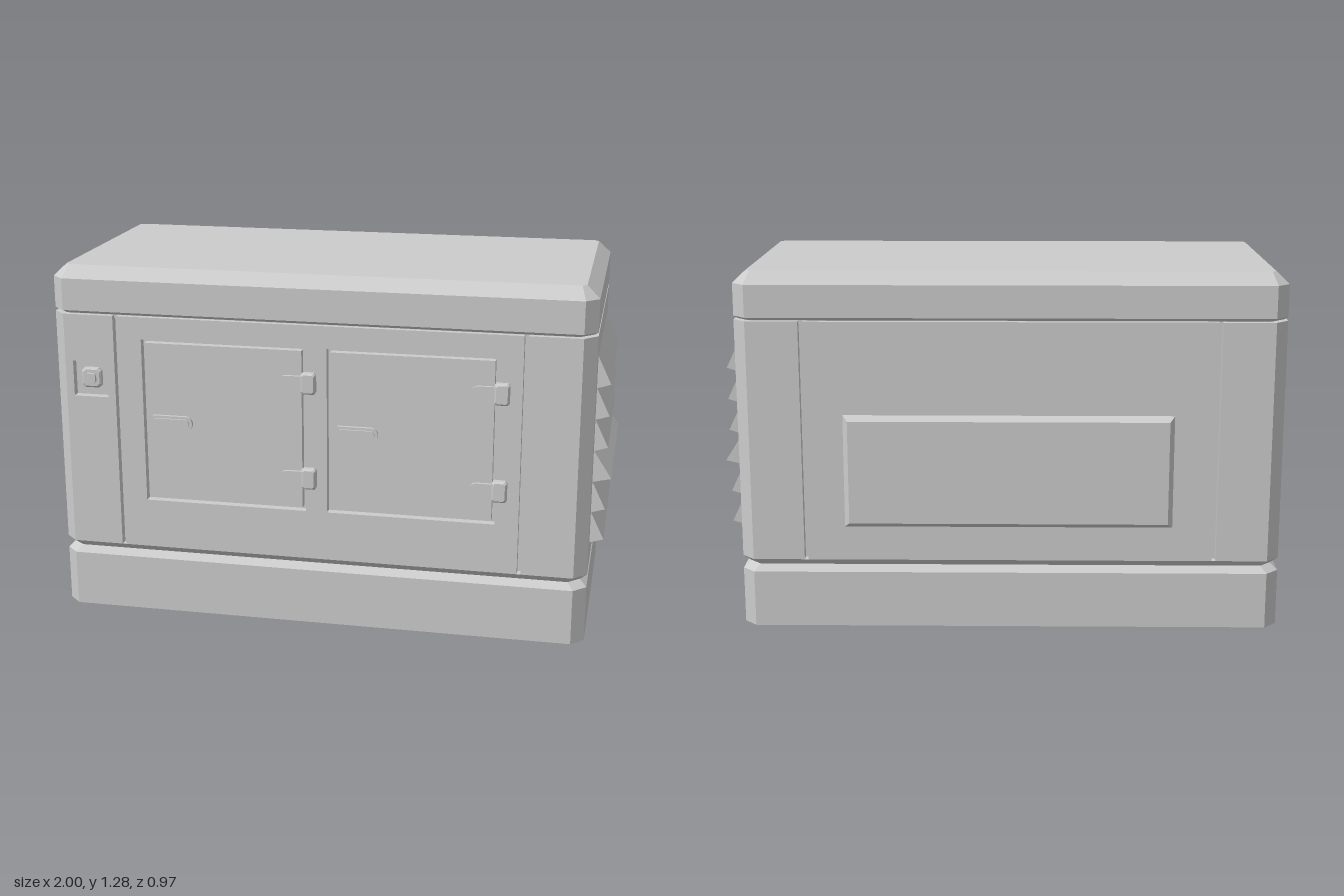
import * as THREE from 'three';

const MID = -0.025, HX = 0.96, HZ = 0.46, CUT = 0.045;
const PLATE = 0.03;
const BOTTOM = 0.25, TOP = 1.11;

const material = new THREE.MeshStandardMaterial({ color: 0xcccccc, flatShading: true });

function add(parent, name, geometry, x = 0, y = 0, z = 0) {
  const mesh = new THREE.Mesh(geometry, material);
  mesh.name = name;
  mesh.position.set(x, y, z);
  parent.add(mesh);
  return mesh;
}

// Rectangle with cut corners, counter-clockwise seen from +z (or from below when laid in x, z)
function cutRect(hx, hz, c) {
  return [[hx, -hz + c], [hx, hz - c], [hx - c, hz], [-hx + c, hz],
    [-hx, hz - c], [-hx, -hz + c], [-hx + c, -hz], [hx - c, -hz]];
}

// Stack of convex [points, height] sections with closed ends; height runs along y
function stack(sections) {
  const pos = [];
  const at = ([pts, h], i) => {
    const p = pts[i % pts.length];
    return [p[0], h, p[1]];
  };
  const n = sections[0][0].length;
  for (let s = 0; s + 1 < sections.length; s++) {
    const lo = sections[s], hi = sections[s + 1];
    for (let i = 0; i < n; i++) {
      pos.push(...at(lo, i), ...at(hi, i), ...at(hi, i + 1));
      pos.push(...at(lo, i), ...at(hi, i + 1), ...at(lo, i + 1));
    }
  }
  const first = sections[0], last = sections[sections.length - 1];
  for (let i = 1; i + 1 < n; i++) {
    pos.push(...at(first, 0), ...at(first, i), ...at(first, i + 1));
    pos.push(...at(last, 0), ...at(last, i + 1), ...at(last, i));
  }
  const g = new THREE.BufferGeometry();
  g.setAttribute('position', new THREE.Float32BufferAttribute(pos, 3));
  g.computeVertexNormals();
  return g;
}

const shell = (inset, y, c = CUT) => [cutRect(HX - inset, HZ - inset, c), y];

function rect(x0, x1, y0, y1, Type = THREE.Shape) {
  return new Type([[x0, y0], [x1, y0], [x1, y1], [x0, y1]].map(p => new THREE.Vector2(...p)));
}

const extrude = (shape, depth) =>
  new THREE.ExtrudeGeometry(shape, { depth, bevelEnabled: false, curveSegments: 6 });

// Shallow panel with sloped edges, rising along +y before being turned
function raisedPanel(hw, hh, height, slope) {
  const ring = i => [[hw - i, -hh + i], [hw - i, hh - i], [-hw + i, hh - i], [-hw + i, -hh + i]];
  return stack([[ring(0), -0.01], [ring(0), 0], [ring(slope), height]]);
}

// Bar with a rounded right end
function latchShape(w, h) {
  const s = new THREE.Shape();
  s.moveTo(0, -h / 2);
  s.lineTo(w - h / 2, -h / 2);
  s.absarc(w - h / 2, 0, h / 2, -Math.PI / 2, Math.PI / 2, false);
  s.lineTo(0, h / 2);
  s.closePath();
  return s;
}

function buildHousing(group) {
  const base = add(group, 'base', stack([shell(0, 0), shell(0, 0.203), shell(0.025, 0.225, 0.04)]), MID);
  base.position.x = MID;
  add(group, 'lowerChamfer', stack([shell(0.025, 0.22, 0.04), shell(0.025, 0.225, 0.04), shell(0, BOTTOM)]), MID);
  add(group, 'lidSeam', stack([shell(0.02, TOP - 0.01), shell(0.02, 1.13)]), MID);
  add(group, 'lid', stack([shell(0.012, 1.113), shell(0, 1.123), shell(0, 1.237), shell(0.045, 1.28, 0.015)]), MID);

  // Core with corner posts; the front and back plates sit between the posts
  const z = HZ - PLATE, e = HX - CUT, s = HZ - CUT;
  const outline = [[HX, -s], [HX, s], [e, HZ], [e, z], [-e, z], [-e, HZ], [-HX, s],
    [-HX, -s], [-e, -HZ], [-e, -z], [e, -z], [e, -HZ]];
  const core = extrude(new THREE.Shape(outline.map(p => new THREE.Vector2(...p))), TOP - BOTTOM);
  core.rotateX(-Math.PI / 2);
  add(group, 'core', core, MID, BOTTOM);

  // Plates separated by narrow vertical seams
  const spans = { RightEnd: [-0.94, -0.757], Middle: [-0.743, 0.693], LeftEnd: [0.707, 0.89] };
  for (const [name, [x0, x1]] of Object.entries(spans)) {
    const front = rect(x0, x1, BOTTOM, TOP);
    if (name === 'Middle') {
      for (const [a, b] of DOORS) front.holes.push(rect(a, b, 0.43, 1.03, THREE.Path));
    }
    if (name === 'RightEnd') front.holes.push(rect(-0.912, -0.785, 0.81, 0.94, THREE.Path));
    add(group, 'front' + name, extrude(front, PLATE), 0, 0, z);
    add(group, 'back' + name, extrude(rect(x0, x1, BOTTOM, TOP), PLATE), 0, 0, -HZ);
  }
}

const DOORS = [[-0.655, -0.063], [0.015, 0.61]];

function buildDoor([x0, x1]) {
  const door = new THREE.Group();
  door.name = 'door';
  const gap = 0.012;
  add(door, 'doorPanel', extrude(rect(x0 + gap, x1 - gap, 0.43 + gap, 1.03 - gap), PLATE - 0.002), 0, 0, HZ - PLATE);
  add(door, 'latch', extrude(latchShape(0.145, 0.052), 0.012), x0 + 0.037, 0.73, HZ - 0.002);
  add(door, 'latchGrip', extrude(latchShape(0.125, 0.034), 0.006), x0 + 0.046, 0.73, HZ + 0.01);
  for (const y of [0.557, 0.906]) {
    const hinge = new THREE.Group();
    hinge.name = 'hinge';
    hinge.position.set(x1, y, HZ);
    const leaf = latchShape(0.09, 0.046);
    add(hinge, 'hingeLeaf', extrude(leaf, 0.012), 0, 0, -0.003).rotation.z = Math.PI;
    add(hinge, 'hingeBlock', stack([[cutRect(0.026, 0.038, 0.006), -0.004],
      [cutRect(0.026, 0.038, 0.006), 0.018], [cutRect(0.02, 0.032, 0.006), 0.025]]), 0.015).rotation.x = Math.PI / 2;
    door.add(hinge);
  }
  return door;
}

function buildSwitch(group) {
  // Push button standing in its square recess
  const turned = sections => stack(sections).rotateX(Math.PI / 2);
  add(group, 'switchBezel', turned([[cutRect(0.036, 0.036, 0.01), 0], [cutRect(0.036, 0.036, 0.01), 0.015],
    [cutRect(0.03, 0.03, 0.01), 0.02]]), -0.85, 0.876, HZ - PLATE);
  add(group, 'switchButton', turned([[cutRect(0.02, 0.02, 0.007), 0], [cutRect(0.018, 0.018, 0.006), 0.03]]),
    -0.85, 0.876, HZ - PLATE);
}

function buildLouvres(group) {
  const louvres = new THREE.Group();
  louvres.name = 'louvres';
  const width = 0.655;
  for (let i = 0; i < 6; i++) {
    const out = i === 3 ? 0.065 : 0.048;
    const wedge = new THREE.Shape([[-0.005, 0], [-0.005, -0.115], [0, -0.115], [out, -0.1], [0, 0]]
      .map(p => new THREE.Vector2(...p)));
    add(louvres, 'louvreSlat', extrude(wedge, width), MID + HX, 1.02 - i * 0.1135, -width / 2);
  }
  group.add(louvres);
}

export function createModel() {
  const group = new THREE.Group();
  group.name = 'generatorCabinet';
  buildHousing(group);
  for (const span of DOORS) group.add(buildDoor(span));
  buildSwitch(group);
  buildLouvres(group);

  // Raised panels on the back and on the right end
  add(group, 'backPanel', raisedPanel(0.58, 0.203, 0.024, 0.018), -0.02, 0.577, -HZ).rotation.x = -Math.PI / 2;
  add(group, 'endPanel', raisedPanel(0.195, 0.333, 0.015, 0.012), MID - HX, 0.847, 0).rotation.z = Math.PI / 2;
  return group;
}
